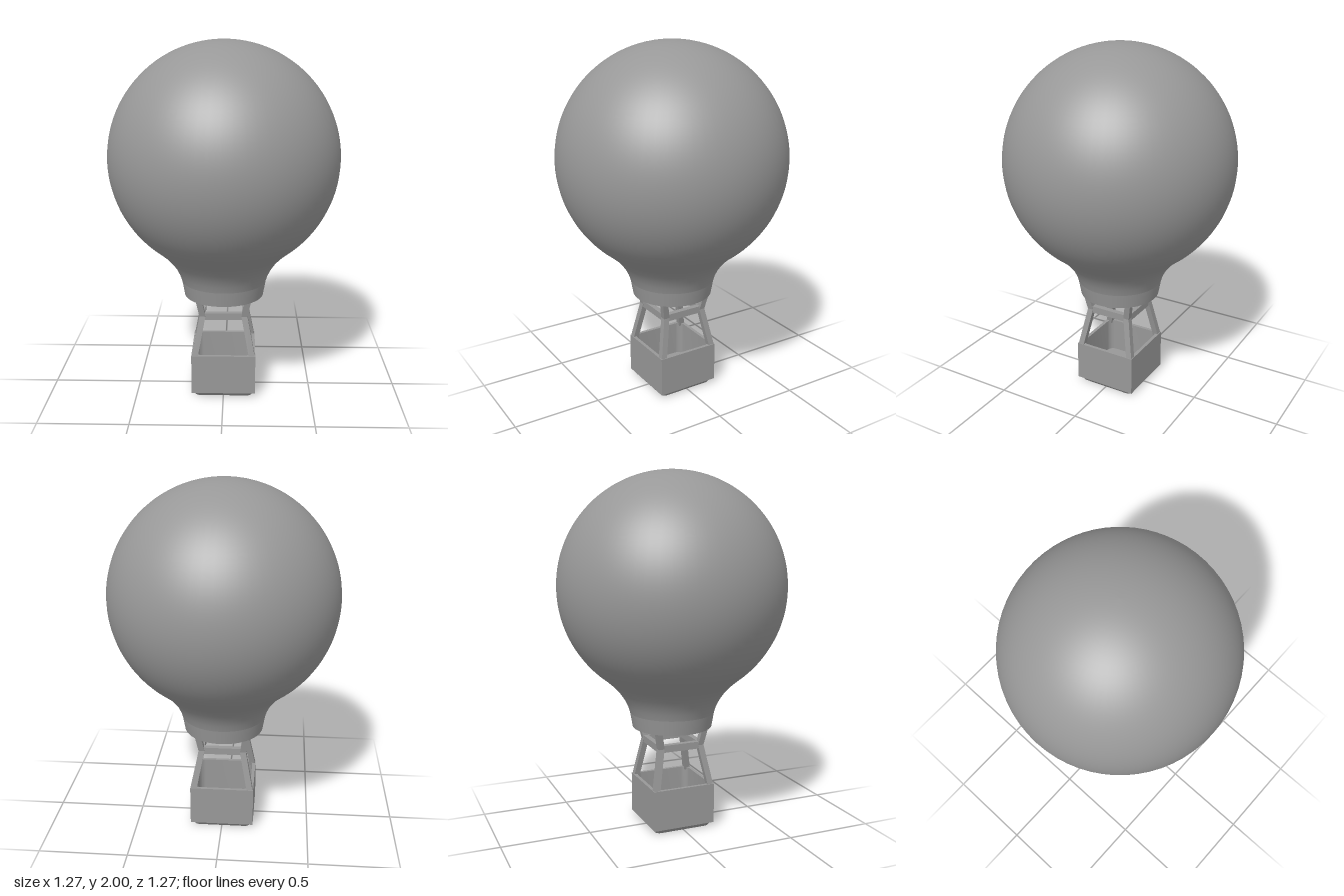
import * as THREE from 'three';
import { toCreasedNormals } from 'three/addons/utils/BufferGeometryUtils.js';

const mat = new THREE.MeshStandardMaterial({ color: 0x989898 });

function add(parent, name, geometry) {
  const mesh = new THREE.Mesh(geometry, mat);
  mesh.name = name;
  parent.add(mesh);
  return mesh;
}

// Square outline with rounded corners
function roundedSquare(h, r) {
  const s = new THREE.Shape();
  s.moveTo(h, h - r);
  s.absarc(h - r, h - r, r, 0, Math.PI / 2);
  s.absarc(r - h, h - r, r, Math.PI / 2, Math.PI);
  s.absarc(r - h, r - h, r, Math.PI, Math.PI * 1.5);
  s.absarc(h - r, r - h, r, Math.PI * 1.5, Math.PI * 2);
  s.closePath();
  return s;
}

// Extrude upwards, smooth round the corners and sharp at the edges
function extrudeUp(shape, options) {
  const g = new THREE.ExtrudeGeometry(shape, { curveSegments: 6, ...options });
  return toCreasedNormals(g.rotateX(-Math.PI / 2), 0.5);
}

// Upright beam whose level cross-section slides from offset d0 at y0 to d1 at y1
function leaningPost(d0, y0, d1, y1, sx, sz, w) {
  const g = new THREE.BoxGeometry(w, y1 - y0, w);
  const p = g.attributes.position;
  for (let i = 0; i < p.count; i++) {
    const d = p.getY(i) > 0 ? d1 : d0;
    p.setX(i, p.getX(i) + sx * d);
    p.setZ(i, p.getZ(i) + sz * d);
  }
  g.translate(0, (y0 + y1) / 2, 0);
  g.computeVertexNormals();
  return g;
}

export function createModel() {
  const model = new THREE.Group();
  model.name = 'hotAirBalloon';

  // Envelope: flared neck running into a sphere
  const R = 0.637, cy = 1.363;
  const profile = [
    [0.24, 0.655], [0.252, 0.692], [0.272, 0.733], [0.3, 0.773], [0.335, 0.813], [0.375, 0.848],
  ].map(([x, y]) => new THREE.Vector2(x, y));
  for (let i = 0; i <= 40; i++) {
    const a = THREE.MathUtils.lerp(-0.86, Math.PI / 2, i / 40);
    profile.push(new THREE.Vector2(Math.max(0, R * Math.cos(a)), cy + R * Math.sin(a)));
  }
  add(model, 'envelope', new THREE.LatheGeometry(profile, 64));

  // Mouth collar with closed underside
  add(model, 'collar', new THREE.CylinderGeometry(0.24, 0.225, 0.084, 64)).position.y = 0.613;

  // Frame: four bent posts and a square of cross bars
  const frame = new THREE.Group();
  frame.name = 'frame';
  model.add(frame);
  for (const sx of [-1, 1]) {
    for (const sz of [-1, 1]) {
      add(frame, 'lowerPost', leaningPost(0.164, 0.235, 0.119, 0.475, sx, sz, 0.034));
      add(frame, 'upperPost', leaningPost(0.119, 0.475, 0.138, 0.575, sx, sz, 0.034));
    }
    add(frame, 'crossBar', new THREE.BoxGeometry(0.238, 0.04, 0.03)).position.set(0, 0.475, sx * 0.119);
    add(frame, 'crossBar', new THREE.BoxGeometry(0.03, 0.04, 0.238)).position.set(sx * 0.119, 0.475, 0);
  }

  // Basket: open square wall standing on a chamfered base that forms the floor
  const basket = new THREE.Group();
  basket.name = 'basket';
  model.add(basket);
  const h = 0.182;
  const wall = new THREE.Shape([[-h, -h], [h, -h], [h, h], [-h, h]].map(([x, y]) => new THREE.Vector2(x, y)));
  wall.holes.push(roundedSquare(0.163, 0.04));
  add(basket, 'basketWall', extrudeUp(wall, { depth: 0.23, bevelEnabled: false })).position.y = 0.022;

  const base = extrudeUp(roundedSquare(0.164, 0.03), {
    depth: 0.006, bevelThickness: 0.022, bevelSize: 0.016, bevelSegments: 1,
  });
  add(basket, 'basketBase', base).position.y = 0.022;

  return model;
}
